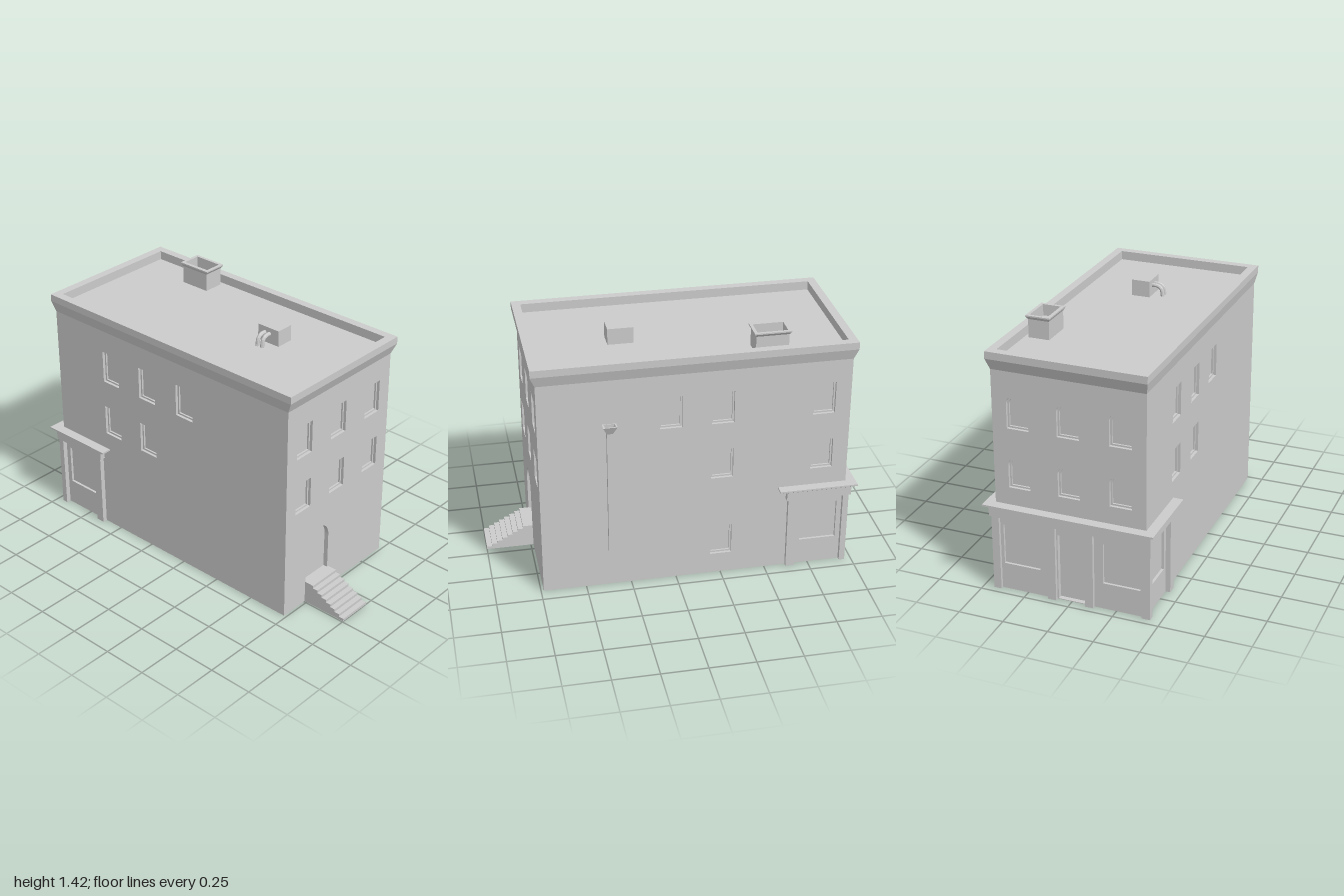
import * as THREE from 'three';

const material = new THREE.MeshStandardMaterial({ color: 0xcccccc, flatShading: true });

// Overall body limits
const X0 = -0.945, X1 = 0.735, Z0 = -0.42, Z1 = 0.415, TOP = 1.28, WALL = 0.03;
const SHOP_X = -0.62;

function add(parent, name, geometry) {
  const mesh = new THREE.Mesh(geometry, material);
  mesh.name = name;
  parent.add(mesh);
  return mesh;
}

function box(parent, name, x0, x1, y0, y1, z0, z1) {
  const mesh = add(parent, name, new THREE.BoxGeometry(x1 - x0, y1 - y0, z1 - z0));
  mesh.position.set((x0 + x1) / 2, (y0 + y1) / 2, (z0 + z1) / 2);
  return mesh;
}

// Skin a stack of rectangles [x0, x1, z0, z1, y] and close the last one
function rectLoft(rings) {
  const loops = rings.map(([x0, x1, z0, z1, y]) => [[x0, y, z1], [x1, y, z1], [x1, y, z0], [x0, y, z0]]);
  const points = [];
  const quad = (a, b, c, d) => points.push(...a, ...b, ...c, ...a, ...c, ...d);
  for (let r = 0; r < loops.length - 1; r++) {
    for (let i = 0; i < 4; i++) {
      const j = (i + 1) % 4;
      quad(loops[r][i], loops[r][j], loops[r + 1][j], loops[r + 1][i]);
    }
  }
  quad(...loops[loops.length - 1]);
  const geometry = new THREE.BufferGeometry();
  geometry.setAttribute('position', new THREE.Float32BufferAttribute(points, 3));
  geometry.computeVertexNormals();
  return geometry;
}

// Outline of an opening, with an optional arched head of the given rise
function outline({ u, y0, y1, w, rise = 0 }, inset = 0) {
  const h = w / 2 - inset, low = y0 + inset, high = y1 - inset;
  const shape = new THREE.Shape();
  shape.moveTo(u - h, low);
  shape.lineTo(u + h, low);
  shape.lineTo(u + h, high - rise);
  if (rise) shape.absellipse(u, high - rise, h, rise, 0, Math.PI, false, 0);
  else shape.lineTo(u - h, high);
  shape.closePath();
  return shape;
}

function extrude(shape, depth, z) {
  return new THREE.ExtrudeGeometry(shape, { depth, bevelEnabled: false, curveSegments: 10 }).translate(0, 0, z);
}

// One facade: a wall pierced by openings, each with a recessed pane and optional frame
function facade(parent, name, u0, u1, openings, angle, x, z) {
  const group = new THREE.Group();
  group.name = name;
  group.rotation.y = angle;
  group.position.set(x, 0, z);
  const wall = new THREE.Shape([[u0, 0], [u1, 0], [u1, TOP], [u0, TOP]].map(p => new THREE.Vector2(...p)));
  for (const o of openings) {
    wall.holes.push(outline(o));
    const depth = o.depth ?? 0.026;
    add(group, o.name + 'Pane', new THREE.ShapeGeometry(outline(o), 10).translate(0, 0, -depth));
    if (o.framed) {
      const frame = outline(o);
      frame.holes.push(outline(o, 0.009));
      add(group, o.name + 'Frame', extrude(frame, 0.01, -depth));
    }
  }
  add(group, name + 'Wall', extrude(wall, WALL, -WALL));
  parent.add(group);
}

const upper = (u, rise) => ({ name: 'upperWindow', u, y0: 0.938, y1: 1.122, w: 0.12, rise, framed: true });
const middle = (u, rise) => ({ name: 'middleWindow', u, y0: 0.605, y1: 0.78, w: 0.12, rise, framed: true });
const shopWindow = (u, w = 0.205) => ({ name: 'shopWindow', u, y0: 0.15, y1: 0.38, w, depth: 0.014 });

function buildWalls(model) {
  // Inner core, notched to leave the shop hollow
  const profile = [[SHOP_X, 0], [X1 - WALL, 0], [X1 - WALL, TOP], [X0 + WALL, TOP], [X0 + WALL, 0.45], [SHOP_X, 0.45]];
  const core = new THREE.Shape(profile.map(p => new THREE.Vector2(...p)));
  add(model, 'core', extrude(core, Z1 - Z0 - 2 * WALL, Z0 + WALL));

  const columns = [-0.28, -0.005, 0.277];
  facade(model, 'front', X0, X1, [
    ...[-0.525, -0.25, 0.025].map(u => upper(u)),
    ...[-0.525, -0.25].map(u => middle(u)),
    shopWindow(-0.8),
  ], 0, 0, Z1);
  facade(model, 'back', -X1, -X0, [
    ...[-0.03, 0.25, 0.8].map(u => upper(u)),
    ...[0.25, 0.8].map(u => middle(u)),
    { name: 'lowWindow', u: 0.25, y0: 0.12, y1: 0.3, w: 0.12, framed: true },
    shopWindow(0.8),
  ], Math.PI, 0, Z0);
  facade(model, 'rightSide', -Z1, -Z0, [
    ...columns.map(u => upper(u)),
    ...columns.map(u => middle(u)),
    { name: 'archedDoor', u: -0.148, y0: 0.125, y1: 0.435, w: 0.184, rise: 0.092 },
  ], Math.PI / 2, X1, 0);
  facade(model, 'leftSide', Z0, Z1, [
    ...columns.map(u => upper(u, 0.045)),
    ...columns.map(u => middle(u, 0.045)),
    shopWindow(-0.28), shopWindow(0.28),
    { name: 'shopDoor', u: 0, y0: 0.004, y1: 0.38, w: 0.15, depth: 0.026 },
  ], -Math.PI / 2, X0, 0);
}

function buildShopfront(model) {
  const shop = new THREE.Group();
  shop.name = 'shopfront';
  // Corner and rear pilasters on both long sides
  for (const [near, far] of [[Z1 - 0.02, Z1 + 0.027], [Z0 - 0.022, Z0 + 0.02]]) {
    box(shop, 'cornerPilaster', -0.962, -0.93, 0, 0.435, near, far);
    box(shop, 'endPilaster', -0.67, SHOP_X, 0, 0.435, near, far);
  }
  // Pilasters beside the shop door
  for (const z of [-0.105, 0.105]) box(shop, 'doorPilaster', -0.965, -0.935, 0, 0.435, z - 0.023, z + 0.023);
  box(shop, 'frieze', -0.972, -0.61, 0.43, 0.484, -0.45, 0.447);
  add(shop, 'shopCornice', rectLoft([
    [-0.972, -0.61, -0.45, 0.447, 0.48],
    [-1, -0.565, -0.474, 0.471, 0.496],
    [-1, -0.565, -0.474, 0.471, 0.506],
  ]));
  model.add(shop);
}

function buildRoof(model) {
  // Flared cornice, parapet and sunken roof in one skin
  add(model, 'corniceAndRoof', rectLoft([
    [X0, X1, Z0, Z1, 1.25],
    [-0.967, 0.76, -0.438, 0.428, 1.31],
    [-0.967, 0.76, -0.438, 0.428, 1.35],
    [-0.92, 0.712, -0.392, 0.38, 1.35],
    [-0.92, 0.712, -0.392, 0.38, 1.3],
  ]));
  // Hollow chimney with a flared rim
  add(model, 'chimney', rectLoft([
    [-0.605, -0.428, -0.369, -0.253, 1.295],
    [-0.605, -0.428, -0.369, -0.253, 1.4],
    [-0.615, -0.417, -0.381, -0.245, 1.415],
    [-0.615, -0.417, -0.381, -0.245, 1.422],
    [-0.598, -0.434, -0.364, -0.264, 1.422],
    [-0.598, -0.434, -0.364, -0.264, 1.36],
  ]));
  box(model, 'roofUnit', 0.17, 0.31, 1.295, 1.39, -0.11, -0.008);
  for (const x of [0.217, 0.249]) {
    const path = new THREE.CatmullRomCurve3([
      [x, 1.355, -0.02], [x, 1.357, 0.015], [x, 1.343, 0.042], [x, 1.295, 0.053],
    ].map(p => new THREE.Vector3(...p)));
    add(model, 'roofPipe', new THREE.TubeGeometry(path, 10, 0.011, 8));
  }
}

function buildStairs(model) {
  const steps = 8, rise = 0.128 / steps, run = 0.21 / (steps - 1);
  const points = [[X1 - 0.01, 0], [1, 0]];
  for (let i = 0; i < steps; i++) {
    const x = 1 - i * run;
    points.push([x, (i + 1) * rise]);
    points.push([i === steps - 1 ? X1 - 0.01 : x - run, (i + 1) * rise]);
  }
  const shape = new THREE.Shape(points.map(p => new THREE.Vector2(...p)));
  add(model, 'stairs', extrude(shape, 0.196, 0.047));
}

function buildDownspout(model) {
  box(model, 'downspout', 0.342, 0.374, 0.22, 0.96, -0.443, Z0 + 0.005);
  // Flared collecting funnel
  add(model, 'funnel', rectLoft([
    [0.342, 0.374, -0.443, Z0, 0.95],
    [0.32, 0.396, -0.465, Z0, 0.998],
    [0.328, 0.388, -0.458, Z0 - 0.004, 0.998],
    [0.346, 0.37, -0.44, Z0 - 0.004, 0.965],
  ]));
}

export function createModel() {
  const model = new THREE.Group();
  model.name = 'building';
  buildWalls(model);
  buildShopfront(model);
  buildRoof(model);
  buildStairs(model);
  buildDownspout(model);
  return model;
}
